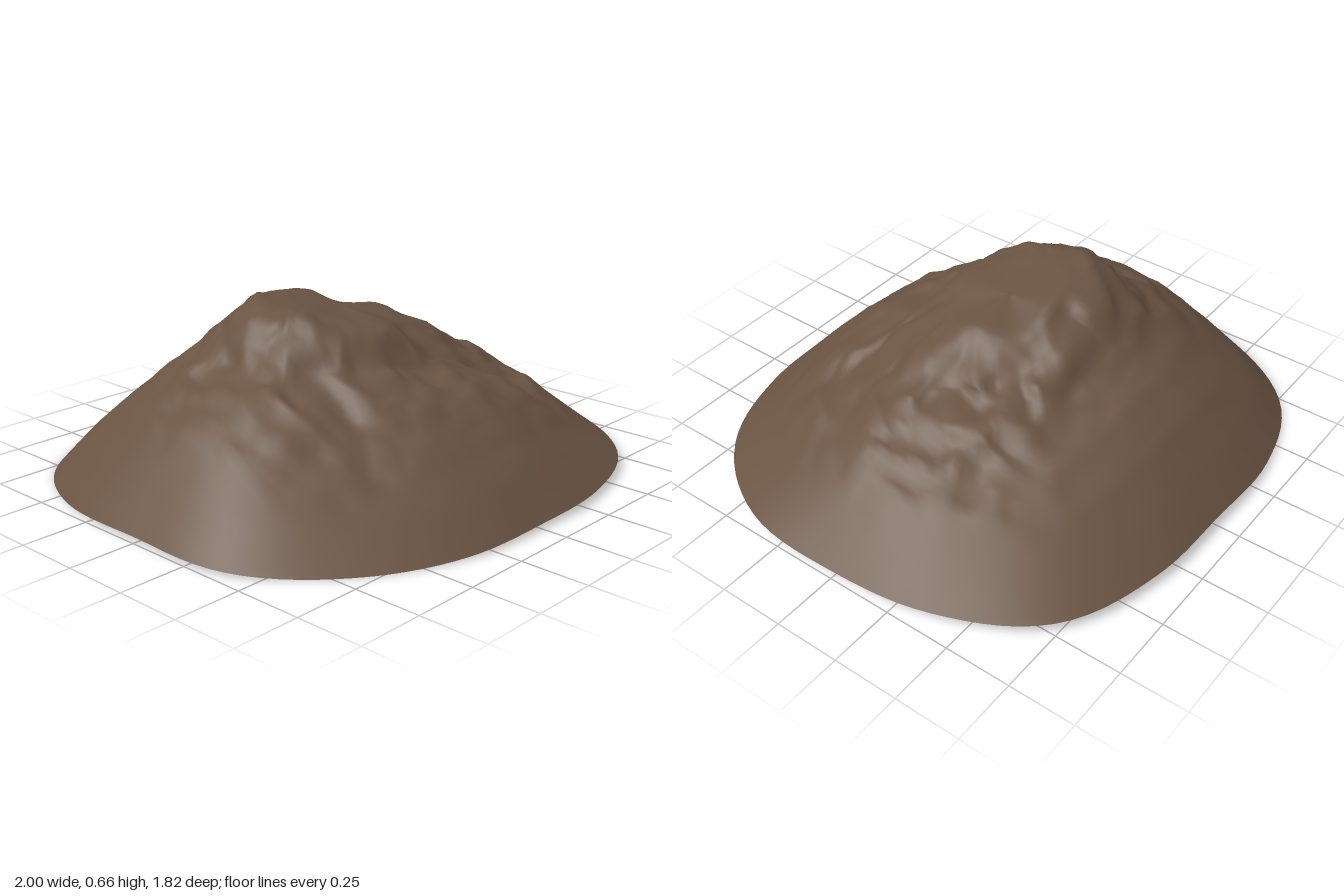
import * as THREE from 'three';

// Closed smooth interpolation through evenly spaced values
function loopValue(values, u) {
  const n = values.length, i = Math.floor(u * n), f = u * n - i;
  const v = k => values[(i + k + n) % n];
  return cubic(v(-1), v(0), v(1), v(2), f);
}

function cubic(a, b, c, d, f) {
  return b + 0.5 * f * (c - a + f * (2 * a - 5 * b + 4 * c - d + f * (3 * (b - c) + d - a)));
}

// Repeatable value noise in -1..1
function hash(x, z) {
  const s = Math.sin(x * 127.1 + z * 311.7) * 43758.5453;
  return (s - Math.floor(s)) * 2 - 1;
}

function noise(x, z) {
  const i = Math.floor(x), j = Math.floor(z);
  const fx = x - i, fz = z - j;
  const sx = fx * fx * (3 - 2 * fx), sz = fz * fz * (3 - 2 * fz);
  const lerp = THREE.MathUtils.lerp;
  return lerp(lerp(hash(i, j), hash(i + 1, j), sx), lerp(hash(i, j + 1), hash(i + 1, j + 1), sx), sz);
}

// Rim radius every 22.5 degrees, from +x towards +z
const rim = [1, 1.04, 1.03, 0.955, 0.905, 0.94, 0.985, 1.04, 1, 1.04, 1.06, 0.975, 0.91, 0.96, 1.04, 1.02];

// Slope heights every 45 degrees, at these fractions of the rim radius
const steps = [0, 0.2, 0.3, 0.4, 0.5, 0.6, 0.75, 0.88, 1];
const slopes = [
  [0.61, 0.58, 0.50, 0.43, 0.385, 0.345, 0.265, 0.155, 0.045],
  [0.61, 0.55, 0.49, 0.42, 0.37, 0.32, 0.22, 0.12, 0.035],
  [0.61, 0.59, 0.56, 0.46, 0.41, 0.37, 0.27, 0.15, 0.025],
  [0.61, 0.61, 0.57, 0.47, 0.41, 0.35, 0.23, 0.12, 0.005],
  [0.61, 0.645, 0.66, 0.58, 0.48, 0.43, 0.33, 0.18, 0.03],
  [0.61, 0.66, 0.66, 0.55, 0.46, 0.39, 0.26, 0.14, 0.005],
  [0.61, 0.64, 0.57, 0.47, 0.43, 0.405, 0.31, 0.18, 0.045],
  [0.61, 0.57, 0.50, 0.43, 0.38, 0.33, 0.23, 0.13, 0.04],
];

function slopeHeight(u, t) {
  let k = 0;
  while (k < steps.length - 2 && t > steps[k + 1]) k++;
  const f = (t - steps[k]) / (steps[k + 1] - steps[k]);
  const at = j => loopValue(slopes.map(s => s[THREE.MathUtils.clamp(j, 0, steps.length - 1)]), u);
  return THREE.MathUtils.lerp(at(k), at(k + 1), f);
}

// Open shell of the hill, with rocky mid slopes and a smooth skirt
function hillGeometry(around = 112, rings = 48) {
  const positions = [], index = [];
  const smooth = THREE.MathUtils.smoothstep;
  for (let r = 0; r <= rings; r++) {
    const t = r / rings;
    for (let a = 0; a < around; a++) {
      const u = a / around, angle = u * Math.PI * 2;
      const radius = loopValue(rim, u) * t;
      let x = Math.cos(angle) * radius, z = Math.sin(angle) * radius;
      let y = slopeHeight(u, t);

      // Roughness fades on the summit, the outer skirt and the back slope
      const rough = smooth(t, 0.16, 0.34) * (1 - smooth(t, 0.62, 0.9)) * (0.2 + 0.8 * smooth(z, -0.55, -0.2));
      const ridge = 0.5 - Math.abs(noise(x * 7 + 3, z * 7 + 8));
      y += rough * (0.028 * ridge + 0.016 * noise(x * 13, z * 13) + 0.009 * noise(x * 27, z * 27));

      // Sideways shifts sharpen the cliffs below the summit
      const cliff = rough * (1 - smooth(t, 0.4, 0.7));
      x += cliff * 0.035 * noise(x * 10 + 40, z * 10 + y * 6);
      z += cliff * 0.035 * noise(x * 10 + y * 6, z * 10 + 70);
      positions.push(x, Math.max(0, y), z);

      if (r < rings) {
        const b = (a + 1) % around;
        const p = r * around + a, q = r * around + b;
        if (r > 0) index.push(p, q, p + around);
        index.push(q, q + around, p + around);
      }
    }
  }
  const geometry = new THREE.BufferGeometry();
  geometry.setAttribute('position', new THREE.Float32BufferAttribute(positions, 3));
  geometry.setIndex(index);
  geometry.computeVertexNormals();
  // The centre points share one spot, so they share the upward normal
  for (let a = 0; a < around; a++) geometry.attributes.normal.setXYZ(a, 0, 1, 0);
  return geometry;
}

export function createModel() {
  const group = new THREE.Group();
  group.name = 'rockyHill';
  const earth = new THREE.MeshStandardMaterial({ color: 0x6a5443, side: THREE.DoubleSide });
  earth.name = 'brown earth';
  const hill = new THREE.Mesh(hillGeometry(), earth);
  hill.name = 'hillShell';
  group.add(hill);
  return group;
}
